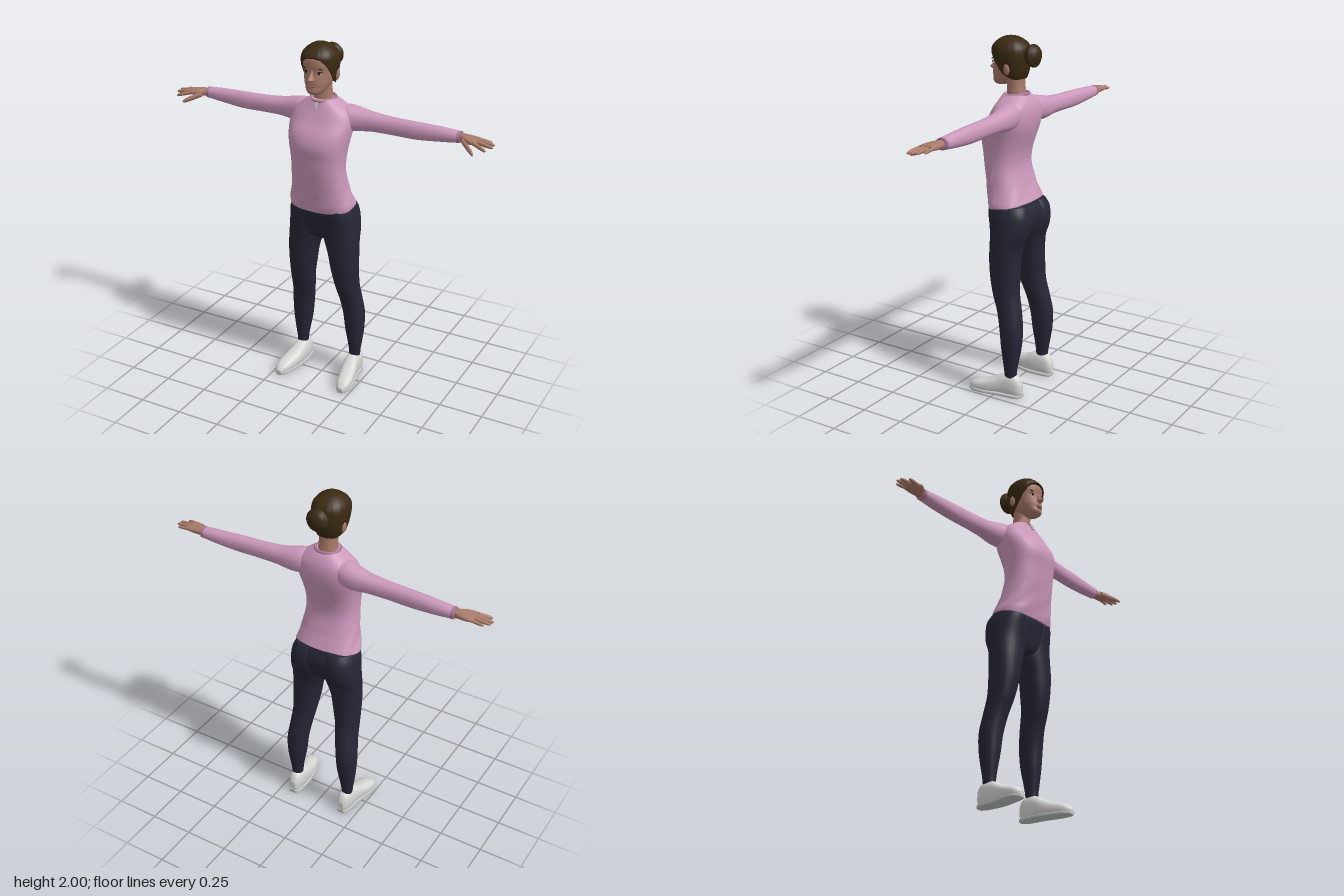
import * as THREE from 'three';

const mat = (name, color) => {
  const m = new THREE.MeshStandardMaterial({ color });
  m.name = name;
  return m;
};

// Smooth interpolation of rows [key, ...values] at key t
function sample(rows, t) {
  const n = rows.length - 1;
  if (t <= rows[0][0]) return rows[0].slice(1);
  if (t >= rows[n][0]) return rows[n].slice(1);
  let i = 0;
  while (rows[i + 1][0] < t) i++;
  const p = rows[i], q = rows[i + 1], h = q[0] - p[0], u = (t - p[0]) / h;
  const slope = (k, c) => {
    const a = rows[Math.max(k - 1, 0)], b = rows[Math.min(k + 1, n)];
    return (b[c] - a[c]) / (b[0] - a[0]);
  };
  return p.slice(1).map((v, j) => {
    const c = j + 1, u2 = u * u, u3 = u2 * u;
    return v * (2 * u3 - 3 * u2 + 1) + slope(i, c) * h * (u3 - 2 * u2 + u)
      + q[c] * (3 * u2 - 2 * u3) + slope(i + 1, c) * h * (u3 - u2);
  });
}

// Closed loft of superellipse rings along an axis; rows are [position, aMin, aMax, bMin, bMax]
function loft(axis, rows, { s = 1, n = 2.2, steps = 28, sides = 32, start, ripple } = {}) {
  const pos = [], idx = [], end = rows[rows.length - 1][0];
  const put = (t, a, b) => {
    const p = axis === 'x' ? [t, a, b] : axis === 'y' ? [a, t, b] : [a, b, t];
    pos.push(p[0] * s, p[1], p[2]);
  };
  const root = (v) => Math.sign(v) * Math.abs(v) ** (2 / n);
  for (let i = 0; i <= steps; i++) {
    for (let j = 0; j < sides; j++) {
      const ang = j / sides * Math.PI * 2;
      const from = start ? start(Math.sin(ang)) : rows[0][0];
      const t = from + (end - from) * i / steps;
      const [a0, a1, b0, b1] = sample(rows, t);
      const k = ripple ? ripple(ang, t) : 1;
      put(t, (a0 + a1) / 2 + (a1 - a0) / 2 * k * root(Math.cos(ang)),
        (b0 + b1) / 2 + (b1 - b0) / 2 * k * root(Math.sin(ang)));
      if (i < steps) {
        const a = i * sides + j, b = i * sides + (j + 1) % sides;
        idx.push(a, b, a + sides, b, b + sides, a + sides);
      }
    }
  }
  // End caps on their own vertices, so the rims stay crisp
  for (const ring of [0, steps]) {
    const base = pos.length / 3, c = [0, 0, 0];
    for (let j = 0; j < sides; j++) {
      for (let k = 0; k < 3; k++) {
        const v = pos[(ring * sides + j) * 3 + k];
        pos.push(v);
        c[k] += v / sides;
      }
    }
    pos.push(...c);
    for (let j = 0; j < sides; j++) {
      const a = base + j, b = base + (j + 1) % sides;
      idx.push(...(ring ? [a, b, base + sides] : [b, a, base + sides]));
    }
  }
  // Turn all faces outward
  const P = (i) => new THREE.Vector3().fromArray(pos, i * 3);
  let volume = 0;
  for (let i = 0; i < idx.length; i += 3) volume += P(idx[i]).dot(P(idx[i + 1]).cross(P(idx[i + 2])));
  if (volume < 0) idx.reverse();
  const g = new THREE.BufferGeometry();
  g.setAttribute('position', new THREE.Float32BufferAttribute(pos, 3));
  g.setIndex(idx);
  g.computeVertexNormals();
  return g;
}

const sym = (rows) => rows.map(([y, w, b0, b1]) => [y, -w, w, b0, b1]);

export function createModel() {
  const model = new THREE.Group();
  const pink = mat('sweater pink', 0xcb98bb), trim = mat('trim pink', 0xa97899);
  const navy = mat('legging navy', 0x262636), skin = mat('skin', 0xa87a69);
  const brown = mat('hair brown', 0x3a2a12), white = mat('shoe white', 0xd6d8d6);
  const grey = mat('sole grey', 0xbfc2c2), lip = mat('lip', 0x8c5a52);
  const dark = mat('eye dark', 0x1c1512);
  const add = (name, geo, material) => {
    const m = new THREE.Mesh(geo, material);
    m.name = name;
    model.add(m);
    return m;
  };
  const ball = (name, material, p, r, rz = 0) => {
    const m = add(name, new THREE.SphereGeometry(1, 24, 16), material);
    m.position.set(...p);
    m.scale.set(...r);
    m.rotation.z = rz;
    return m;
  };

  // Sweater body with a slanted hem and soft folds at the waist
  add('sweaterBody', loft('y', sym([
    [1.06, 0.184, -0.125, 0.098], [1.10, 0.187, -0.13, 0.108], [1.14, 0.175, -0.115, 0.115],
    [1.2, 0.162, -0.092, 0.125], [1.3, 0.15, -0.068, 0.142], [1.38, 0.152, -0.075, 0.152],
    [1.46, 0.162, -0.1, 0.162], [1.52, 0.172, -0.118, 0.145], [1.58, 0.176, -0.125, 0.105],
    [1.63, 0.16, -0.12, 0.078], [1.66, 0.122, -0.108, 0.064], [1.685, 0.085, -0.092, 0.054],
    [1.695, 0.072, -0.082, 0.048]]), {
    n: 2.5, steps: 56, sides: 64,
    start: (f) => 1.09 - 0.022 * f,
    ripple: (a, y) => 1 + 0.016 * Math.sin(7 * a + y * 45) * Math.max(0, 1 - Math.abs(y - 1.13) / 0.17),
  }), pink);
  const collar = add('collar', new THREE.TorusGeometry(0.067, 0.008, 10, 40), trim);
  collar.rotation.x = Math.PI / 2 + 0.08;
  collar.position.set(0, 1.692, -0.016);
  const zip = add('zipTab', new THREE.BoxGeometry(0.012, 0.036, 0.008), grey);
  zip.position.set(0, 1.668, 0.063);
  zip.rotation.x = -0.4;

  // Hips
  add('hips', loft('y', sym([
    [0.885, 0.09, -0.07, 0.03], [0.9, 0.15, -0.1, 0.05], [0.94, 0.19, -0.13, 0.064],
    [1.0, 0.2, -0.148, 0.077], [1.05, 0.194, -0.148, 0.088], [1.12, 0.17, -0.115, 0.09]]),
  { n: 2.4, sides: 48 }), navy);

  for (const s of [1, -1]) {
    const side = s > 0 ? 'left' : 'right';

    // Leg
    add(side + 'Leg', loft('y', [
      [0.1, 0.142, 0.2, -0.12, -0.052], [0.15, 0.139, 0.203, -0.122, -0.05],
      [0.2, 0.132, 0.21, -0.13, -0.044], [0.3, 0.114, 0.221, -0.146, -0.031],
      [0.4, 0.104, 0.223, -0.15, -0.02], [0.5, 0.09, 0.213, -0.135, 0.002],
      [0.6, 0.075, 0.206, -0.115, 0.038], [0.7, 0.056, 0.207, -0.111, 0.058],
      [0.8, 0.038, 0.209, -0.111, 0.065], [0.88, 0.012, 0.208, -0.122, 0.066],
      [0.94, 0.0, 0.206, -0.147, 0.068], [1.0, 0.0, 0.2, -0.157, 0.077],
      [1.06, 0.01, 0.19, -0.152, 0.086], [1.1, 0.02, 0.17, -0.13, 0.085]],
    { s, n: 2.25, steps: 48 }), navy);

    // Shoe and sole
    const shoe = [
      [-0.155, 0.15, 0.185, 0.025, 0.08], [-0.142, 0.138, 0.198, 0.006, 0.115],
      [-0.1, 0.13, 0.208, 0.004, 0.137], [-0.04, 0.127, 0.214, 0.004, 0.128],
      [0, 0.13, 0.222, 0.004, 0.107], [0.05, 0.14, 0.233, 0.004, 0.085],
      [0.1, 0.153, 0.238, 0.004, 0.07], [0.14, 0.168, 0.233, 0.005, 0.054],
      [0.163, 0.188, 0.215, 0.012, 0.032]];
    add(side + 'Shoe', loft('z', shoe, { s, n: 2.5 }), white);
    add(side + 'Sole', loft('z', shoe.map(([z, a, b]) => [z, a - 0.003, b + 0.003, 0, 0.02]),
      { s, n: 5 }), grey);

    // Sleeve and cuff
    add(side + 'Sleeve', loft('x', [
      [0.06, 1.55, 1.655, -0.095, 0.01], [0.14, 1.525, 1.662, -0.115, 0.022],
      [0.2, 1.525, 1.652, -0.115, 0.006], [0.27, 1.533, 1.638, -0.108, -0.008],
      [0.4, 1.533, 1.628, -0.1, -0.018], [0.52, 1.531, 1.625, -0.1, -0.022],
      [0.65, 1.541, 1.62, -0.105, -0.03], [0.74, 1.551, 1.614, -0.104, -0.035],
      [0.76, 1.554, 1.612, -0.102, -0.038]], { s, steps: 40 }), pink);
    add(side + 'Cuff', loft('x', [
      [0.748, 1.551, 1.614, -0.105, -0.035], [0.764, 1.553, 1.613, -0.103, -0.037]],
    { s, steps: 2 }), trim);

    // Palm, fingers and thumb
    add(side + 'Palm', loft('x', [
      [0.74, 1.562, 1.604, -0.092, -0.048], [0.77, 1.562, 1.604, -0.094, -0.042],
      [0.8, 1.563, 1.603, -0.098, -0.022], [0.84, 1.567, 1.598, -0.1, -0.008],
      [0.867, 1.572, 1.594, -0.096, -0.012]], { s, n: 2.6 }), skin);
    const digits = [
      ['IndexFinger', [0.845, 1.582, -0.02], [0.928, 1.562, 0.012], 0.0115],
      ['MiddleFinger', [0.85, 1.584, -0.042], [0.952, 1.57, -0.03], 0.0115],
      ['RingFinger', [0.85, 1.584, -0.064], [0.95, 1.574, -0.06], 0.011],
      ['LittleFinger', [0.845, 1.583, -0.086], [0.925, 1.575, -0.089], 0.0095],
      ['Thumb', [0.785, 1.578, -0.035], [0.872, 1.54, 0.038], 0.016]];
    for (const [name, p, q, r] of digits) {
      const rows = [[0, 1], [0.5, 0.95], [0.8, 0.8], [0.93, 0.55], [1, 0.12]].map(([t, k]) => {
        const [x, y, z] = p.map((v, i) => v + (q[i] - v) * t);
        return [x, y - r * k, y + r * k, z - r * k, z + r * k];
      });
      add(side + name, loft('x', rows, { s, n: 2, steps: 14, sides: 14 }), skin);
    }

    // Eye, brow and ear
    ball(side + 'Eye', white, [s * 0.038, 1.857, 0.1005], [0.017, 0.0075, 0.006]).rotation.y = s * 0.25;
    ball(side + 'Iris', dark, [s * 0.037, 1.857, 0.104], [0.0085, 0.0075, 0.005]);
    ball(side + 'Lid', dark, [s * 0.039, 1.864, 0.101], [0.02, 0.003, 0.007], s * -0.08);
    ball(side + 'Brow', brown, [s * 0.04, 1.881, 0.102], [0.022, 0.004, 0.006], s * -0.12);
    ball(side + 'Ear', skin, [s * 0.089, 1.832, -0.008], [0.009, 0.03, 0.018], s * -0.12);
  }

  // Neck and head
  add('neck', loft('y', sym([
    [1.66, 0.06, -0.075, 0.04], [1.7, 0.052, -0.066, 0.034], [1.75, 0.049, -0.06, 0.035],
    [1.82, 0.052, -0.06, 0.05]])), skin);
  add('head', loft('y', sym([
    [1.737, 0.022, 0.05, 0.105], [1.745, 0.036, 0.03, 0.117], [1.76, 0.05, 0, 0.122],
    [1.78, 0.062, -0.035, 0.118], [1.8, 0.07, -0.058, 0.12], [1.83, 0.077, -0.074, 0.116],
    [1.86, 0.082, -0.08, 0.112], [1.9, 0.086, -0.084, 0.116], [1.93, 0.083, -0.08, 0.113],
    [1.96, 0.066, -0.06, 0.092], [1.98, 0.035, -0.025, 0.06]]), { steps: 40, sides: 40 }), skin);
  add('nose', loft('y', sym([
    [1.81, 0.01, 0.1, 0.122], [1.816, 0.017, 0.095, 0.138], [1.824, 0.018, 0.09, 0.149],
    [1.84, 0.012, 0.09, 0.137], [1.857, 0.009, 0.09, 0.122], [1.88, 0.007, 0.09, 0.113]]),
  { n: 2, sides: 20 }), skin);
  ball('upperLip', lip, [0, 1.786, 0.116], [0.023, 0.005, 0.01]);
  ball('lowerLip', lip, [0, 1.777, 0.115], [0.019, 0.0055, 0.0105]);

  // Hair: a cap whose lower edge follows the hairline from nape (-1) to forehead (1)
  const hairline = [[-1, 1.777], [-0.5, 1.777], [0, 1.8], [0.35, 1.845], [0.6, 1.888], [0.85, 1.928], [1, 1.94]];
  add('hair', loft('y', sym([
    [1.76, 0.062, -0.06, 0.06], [1.8, 0.08, -0.077, 0.1], [1.85, 0.092, -0.088, 0.112],
    [1.9, 0.099, -0.092, 0.121], [1.94, 0.094, -0.086, 0.12], [1.97, 0.074, -0.063, 0.096],
    [1.99, 0.046, -0.032, 0.066], [1.997, 0.028, -0.014, 0.046], [2.0, 0.008, 0.006, 0.024]]), {
    steps: 40, sides: 64,
    start: (f) => sample(hairline, f)[0],
    ripple: (a) => 1 + 0.008 * Math.sin(16 * a),
  }), brown);

  // Bun with a wrapped strand
  ball('bun', brown, [0, 1.905, -0.118], [0.058, 0.056, 0.043]);
  const strand = add('bunStrand', new THREE.TorusGeometry(0.046, 0.016, 12, 36), brown);
  strand.position.set(0, 1.903, -0.122);
  strand.rotation.x = 0.12;
  return model;
}
